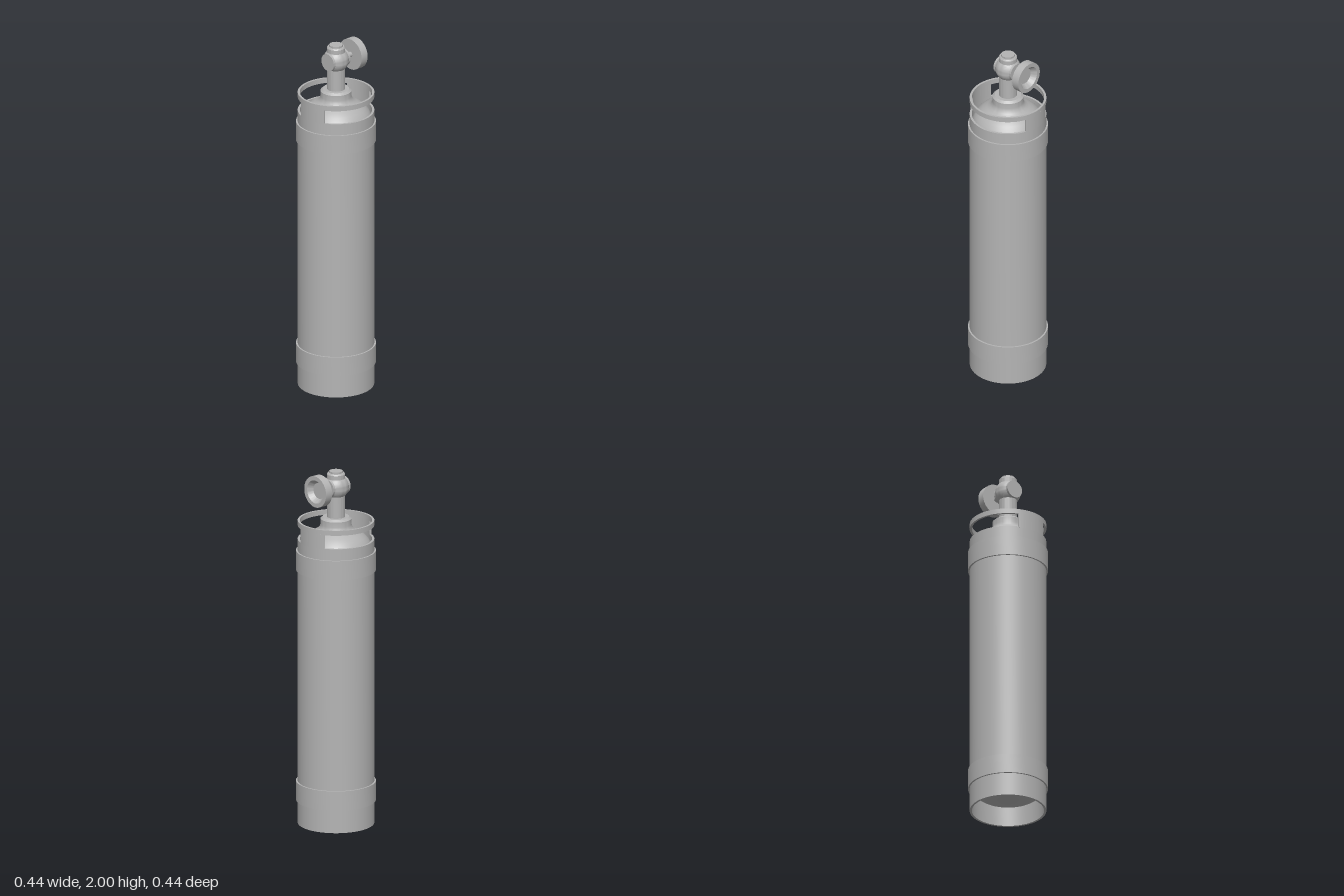
import * as THREE from 'three';
import { toCreasedNormals } from 'three/addons/utils/BufferGeometryUtils.js';

const steel = new THREE.MeshStandardMaterial({ color: 0xb4b4b4 });
steel.name = 'grey steel';

// Revolve [radius, height] pairs, listed from the lower axis outwards and up
function turned(points, segments = 64) {
  const profile = points.map(([r, y]) => new THREE.Vector2(r, y));
  return toCreasedNormals(new THREE.LatheGeometry(profile, segments), 0.6);
}

// Points along an arc in the profile plane, angles in degrees
function arc(rx, ry, cy, from, to, steps) {
  return Array.from({ length: steps + 1 }, (_, i) => {
    const a = THREE.MathUtils.degToRad(from + (to - from) * i / steps);
    return [rx * Math.cos(a), cy + ry * Math.sin(a)];
  });
}

export function createModel() {
  const model = new THREE.Group();
  model.name = 'gasCylinder';

  function add(name, geometry) {
    const mesh = new THREE.Mesh(geometry, steel);
    mesh.name = name;
    model.add(mesh);
    return mesh;
  }

  const R = 0.209, inner = 0.197;

  // Outer shell: domed bottom inside the foot ring, straight wall, open lip
  add('tankShell', turned([
    ...arc(inner, 0.08, 0.14, -90, 0, 12).map(([r, y]) => [Math.max(r, 0), y]),
    [inner, 0], [R, 0], [R, 1.615], [inner, 1.615], [inner, 1.55],
  ], 96));

  // Reinforcing bands
  for (const [name, y] of [['lowerBand', 0.13], ['upperBand', 1.44]]) {
    add(name, turned([[R - 0.005, y], [0.218, y], [0.218, y + 0.11], [R - 0.005, y + 0.11]], 96));
  }

  // Shoulder flowing into the neck collar
  add('shoulder', turned([
    [0.197, 1.56], [0.19, 1.588], [0.178, 1.61], [0.16, 1.63], [0.138, 1.648],
    [0.115, 1.661], [0.098, 1.672], [0.088, 1.686], [0.085, 1.7],
    [0.085, 1.73], [0.072, 1.741], [0, 1.741],
  ]));

  // Guard: a ring carried on two curved posts
  add('guardRing', turned([[inner, 1.692], [R, 1.692], [R, 1.72], [inner, 1.72], [inner, 1.692]], 96));
  const a0 = THREE.MathUtils.degToRad(-20 - 90), a1 = THREE.MathUtils.degToRad(29 - 90);
  const postShape = new THREE.Shape();
  postShape.absarc(0, 0, R, a0, a1, false);
  postShape.absarc(0, 0, inner, a1, a0, true);
  const postGeometry = toCreasedNormals(
    new THREE.ExtrudeGeometry(postShape, { depth: 0.085, bevelEnabled: false, curveSegments: 16 })
      .rotateX(-Math.PI / 2), 0.6);
  [['frontPost', 0], ['backPost', Math.PI]].forEach(([name, turn]) => {
    const post = add(name, postGeometry);
    post.position.y = 1.611;
    post.rotation.y = turn;
  });

  // Valve: stem, bulged cross body and top cap
  add('valveStem', turned([[0.05, 1.735], [0.05, 1.9]], 48));
  const body = add('valveBody', turned([
    [0, -0.063], [0.049, -0.063], ...arc(0.07, 0.07, 0, -45.5, 45.5, 12),
    [0.049, 0.063], [0, 0.063],
  ], 48).rotateX(Math.PI / 2));
  body.position.y = 1.91;
  add('valveCap', turned([
    [0.05, 1.92], [0.05, 1.983], [0.045, 1.99], [0.037, 1.99], [0.037, 2], [0, 2],
  ], 48));

  // Hand wheel with a dished back face
  const spindle = add('spindle', new THREE.CylinderGeometry(0.015, 0.015, 0.07, 24).rotateX(Math.PI / 2));
  spindle.position.set(0, 1.91, -0.085);
  const wheel = add('handWheel', turned([
    [0, -0.125], [0.045, -0.125], [0.065, -0.154], [0.088, -0.154], [0.088, -0.109], [0, -0.109],
  ], 48).rotateX(Math.PI / 2));
  wheel.position.y = 1.91;

  return model;
}
